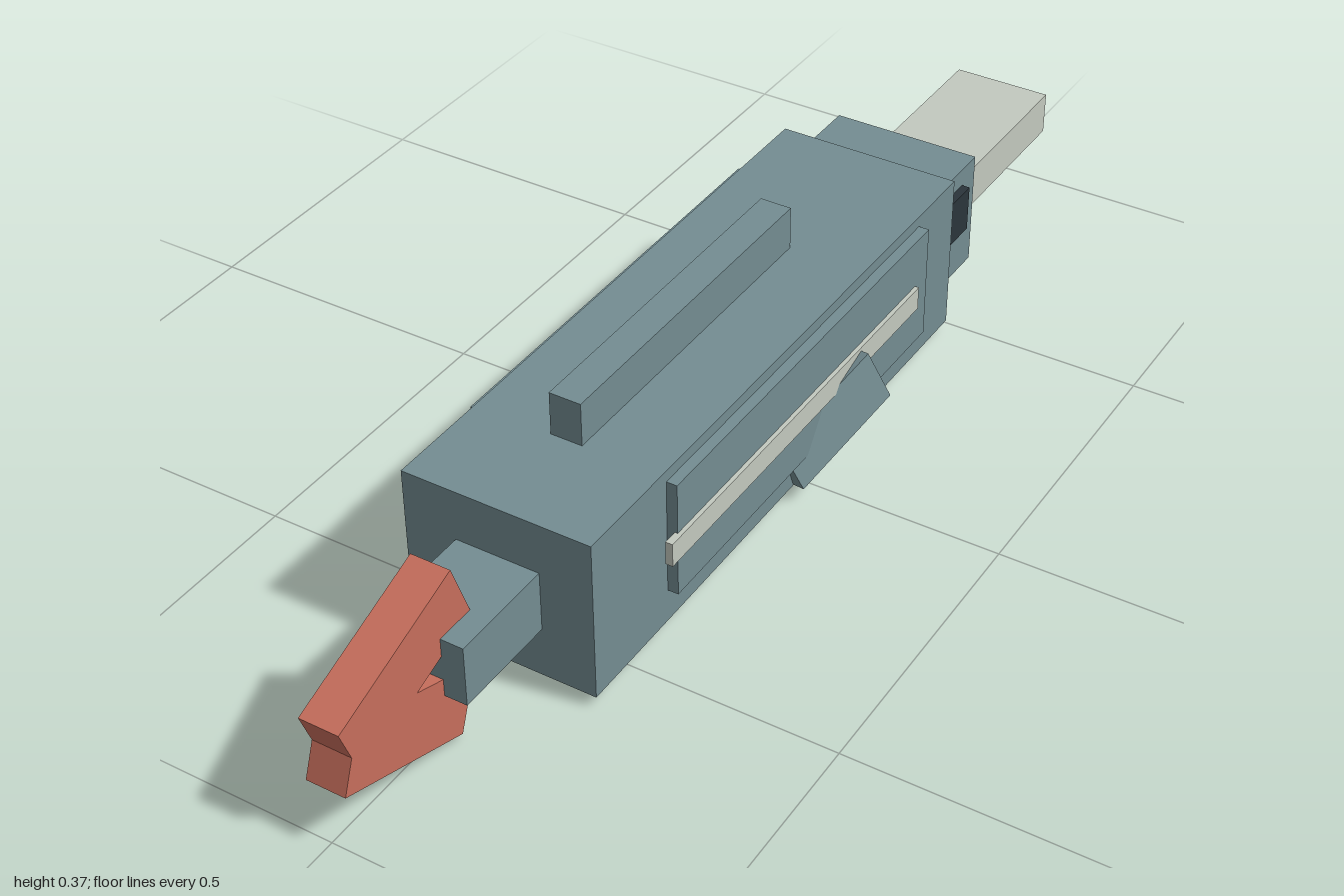
import * as THREE from 'three';

export function createModel() {
  const model = new THREE.Group();
  const mat = (name, color) => {
    const m = new THREE.MeshStandardMaterial({ color });
    m.name = name;
    return m;
  };
  const blue = mat('slate blue', 0x748d92);
  const pale = mat('pale grey', 0xc3c9bf);
  const coral = mat('coral', 0xc76e5c);
  const dark = mat('near black', 0x2b353b);

  // Box given by its extents on each axis
  const box = (name, material, [x0, x1], [y0, y1], [z0, z1]) => {
    const mesh = new THREE.Mesh(new THREE.BoxGeometry(x1 - x0, y1 - y0, z1 - z0), material);
    mesh.position.set((x0 + x1) / 2, (y0 + y1) / 2, (z0 + z1) / 2);
    mesh.name = name;
    model.add(mesh);
    return mesh;
  };
  // Box on one side, mirrored by s
  const sideBox = (name, material, s, x0, x1, y, z) =>
    box(name, material, s > 0 ? [x0, x1] : [-x1, -x0], y, z);

  // Central hull, ridge, belly and end blocks
  box('body', blue, [-0.16, 0.16], [0.018, 0.297], [-0.483, 0.597]);
  box('topRidge', blue, [-0.027, 0.027], [0.29, 0.371], [-0.175, 0.418]);
  box('bellyPlate', pale, [-0.144, 0.144], [0, 0.03], [-0.422, 0.465]);
  box('rearBlock', blue, [-0.131, 0.131], [0.058, 0.262], [-0.62, -0.47]);
  box('rearBar', pale, [-0.088, 0.088], [0.102, 0.178], [-1, -0.61]);
  box('frontBlock', blue, [-0.071, 0.071], [0.106, 0.21], [0.58, 0.778]);

  // Fin axes: length runs back and outward, height runs up, thickness faces out
  const finLength = new THREE.Vector3(0.045, 0.075, -0.195);
  const finHeight = new THREE.Vector3(-0.028, 0.088, 0.0275);
  const finOut = finLength.clone().cross(finHeight).normalize();
  const finThick = 0.035;
  const finCentre = new THREE.Vector3(0.228, 0.1, -0.15)
    .addScaledVector(finLength, -0.5)
    .addScaledVector(finHeight, 0.5)
    .addScaledVector(finOut, -finThick / 2);

  for (const s of [1, -1]) {
    const side = s > 0 ? 'left' : 'right';
    sideBox(side + 'Panel', blue, s, 0.15, 0.178, [0.076, 0.278], [-0.36, 0.405]);
    sideBox(side + 'Stripe', pale, s, 0.173, 0.185, [0.15, 0.191], [-0.32, 0.43]);
    sideBox(side + 'Eye', dark, s, 0.125, 0.145, [0.148, 0.23], [-0.575, -0.487]);

    // Swept side fin
    const flip = (v) => new THREE.Vector3(v.x * s, v.y, v.z);
    const fin = new THREE.Mesh(
      new THREE.BoxGeometry(finThick, finHeight.length(), finLength.length()), blue);
    const up = flip(finHeight).normalize();
    const back = flip(finLength).normalize().negate();
    const out = up.clone().cross(back);
    fin.quaternion.setFromRotationMatrix(new THREE.Matrix4().makeBasis(out, up, back));
    fin.position.copy(flip(finCentre));
    fin.name = side + 'Fin';
    model.add(fin);

    // Crossed blades at the front, one tilted down and one tilted up
    const blade = new THREE.Mesh(new THREE.BoxGeometry(0.066, 0.11, 0.272), coral);
    blade.position.set(0, 0.157 + s * 0.052, 0.853);
    blade.rotation.x = s * 0.355;
    blade.name = s > 0 ? 'upperBlade' : 'lowerBlade';
    model.add(blade);
  }
  return model;
}
